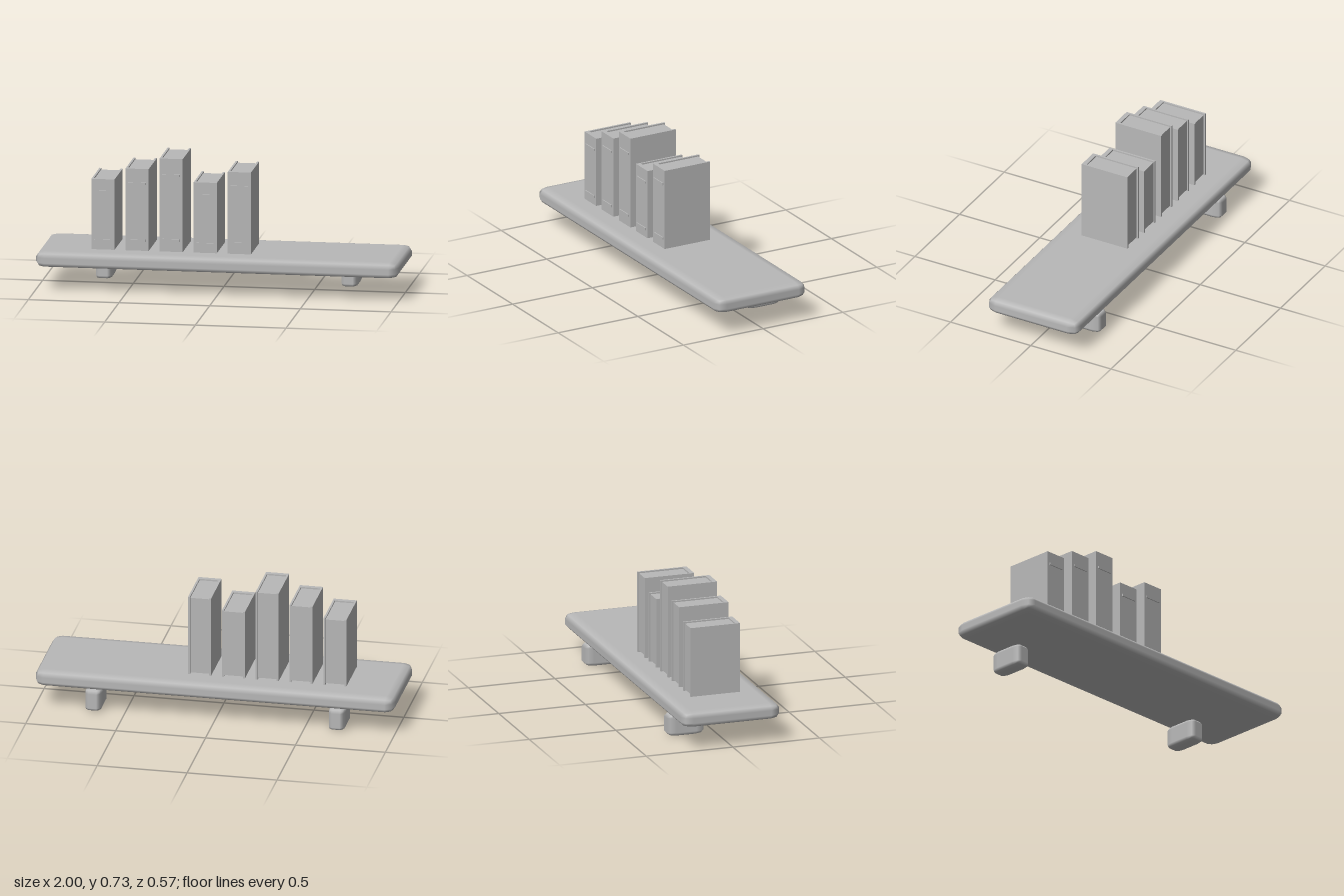
import * as THREE from 'three';

const grey = new THREE.MeshStandardMaterial({ color: 0xb8b8b8 });
grey.name = 'grey';

function addMesh(parent, name, geometry, x, y, z) {
  const mesh = new THREE.Mesh(geometry, grey);
  mesh.name = name;
  mesh.position.set(x, y, z);
  parent.add(mesh);
  return mesh;
}

const addBox = (parent, name, w, h, d, x, y, z) =>
  addMesh(parent, name, new THREE.BoxGeometry(w, h, d), x, y, z);

// Box with two-step rounded edges and a separate radius for each axis
function softBox(size, radius) {
  const geometry = new THREE.BoxGeometry(1, 1, 1, 3, 3, 3);
  const pos = geometry.attributes.position;
  const p = new THREE.Vector3();
  const dir = new THREE.Vector3();
  const core = size.clone().multiplyScalar(0.5).sub(radius);
  const outer = (v) => (Math.abs(v) > 0.4 ? Math.sign(v) : 0);
  for (let i = 0; i < pos.count; i++) {
    p.fromBufferAttribute(pos, i);
    dir.set(outer(p.x), outer(p.y), outer(p.z)).normalize();
    p.set(Math.sign(p.x), Math.sign(p.y), Math.sign(p.z)).multiply(core);
    p.add(dir.clone().multiply(radius));
    pos.setXYZ(i, p.x, p.y, p.z);
    dir.divide(radius).normalize();
    geometry.attributes.normal.setXYZ(i, dir.x, dir.y, dir.z);
  }
  return geometry;
}

// Hardback book standing on y = 0, spine facing +z
function makeBook(height) {
  const book = new THREE.Group();
  const width = 0.128, depth = 0.285, cover = 0.011, spine = 0.025, inset = 0.008;
  for (const side of [-1, 1]) {
    addBox(book, side > 0 ? 'leftCover' : 'rightCover', cover, height, depth,
      side * (width - cover) / 2, height / 2, 0);
  }
  addBox(book, 'spine', width - 2 * cover, height, spine, 0, height / 2, (depth - spine) / 2);
  addBox(book, 'pages', width - 2 * cover, height - 2 * inset, depth - spine - inset,
    0, height / 2, (inset - spine) / 2);
  // Raised bands across the spine
  for (const level of [0.125, 0.82]) {
    addBox(book, 'spineBand', 0.097, 0.013, 0.012, 0, height * level, depth / 2);
  }
  return book;
}

export function createModel() {
  const model = new THREE.Group();
  model.name = 'wallShelf';

  addMesh(model, 'shelfBoard',
    softBox(new THREE.Vector3(2, 0.088, 0.57), new THREE.Vector3(0.05, 0.03, 0.06)), 0, 0.171, 0);

  // Two brackets under the rear of the board
  for (const side of [-1, 1]) {
    addMesh(model, side > 0 ? 'leftBracket' : 'rightBracket',
      softBox(new THREE.Vector3(0.095, 0.127, 0.213), new THREE.Vector3(0.025, 0.022, 0.05)),
      side * 0.677, 0.0635, -0.169);
  }

  [0.392, 0.456, 0.518, 0.392, 0.456].forEach((height, i) => {
    const book = makeBook(height);
    book.name = 'book' + (i + 1);
    book.position.set(-0.645 + i * 0.188, 0.215, 0.001);
    model.add(book);
  });
  return model;
}
